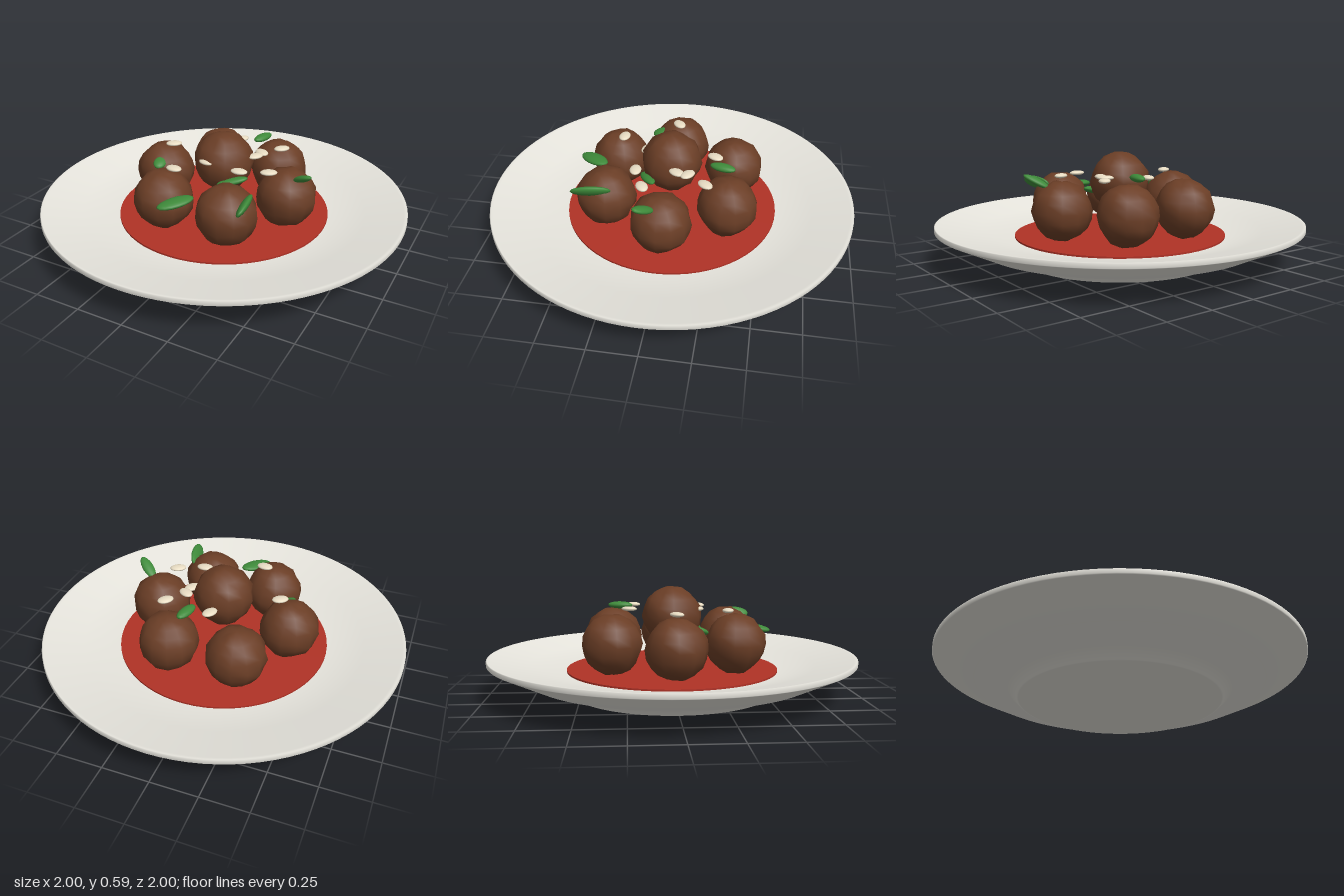
import * as THREE from 'three';
import { mergeVertices } from 'three/addons/utils/BufferGeometryUtils.js';

const mat = (name, color) => {
  const m = new THREE.MeshStandardMaterial({ color });
  m.name = name;
  return m;
};

// Small seeded random generator
function seeded(seed) {
  let s = seed;
  return () => (s = (s * 16807) % 2147483647) / 2147483647;
}

// Coarse sphere with each vertex pushed in or out a little
function lumpyBall(radius, seed) {
  const rand = seeded(seed * 7919 + 13);
  let g = new THREE.SphereGeometry(radius, 12, 10);
  g.deleteAttribute('uv');
  g.deleteAttribute('normal');
  g = mergeVertices(g, 1e-4);
  const p = g.attributes.position;
  for (let i = 0; i < p.count; i++) {
    const k = 0.96 + rand() * 0.07;
    p.setXYZ(i, p.getX(i) * k, p.getY(i) * k, p.getZ(i) * k);
  }
  g.computeVertexNormals();
  return g;
}

export function createModel() {
  const model = new THREE.Group();
  model.name = 'meatballPlate';

  const china = mat('china', 0xf0eee6);
  const sauceRed = mat('sauceRed', 0xb03226);
  const meat = mat('meat', 0x6b3e26);
  const herb = mat('herb', 0x3e8a3a);
  const nut = mat('nut', 0xf2e6cc);

  const add = (name, geometry, material, x = 0, y = 0, z = 0) => {
    const mesh = new THREE.Mesh(geometry, material);
    mesh.name = name;
    mesh.position.set(x, y, z);
    model.add(mesh);
    return mesh;
  };

  // Plate: foot, flared underside, thin rim and shallow well
  const profile = [
    [0, 0], [0.54, 0], [0.55, 0.002], [0.6, 0.05], [0.78, 0.085], [0.995, 0.188],
    [1, 0.192], [1, 0.213], [0.995, 0.216], [0.98, 0.213], [0.78, 0.17], [0.58, 0.128], [0, 0.125],
  ].map(([r, y]) => new THREE.Vector2(r, y));
  add('plate', new THREE.LatheGeometry(profile, 96), china);

  // Sauce pool
  add('sauce', new THREE.CylinderGeometry(0.58, 0.58, 0.016, 64), sauceRed, 0, 0.129, 0);

  // Meatballs: a ring of six with one on top
  for (let i = 0; i < 6; i++) {
    const a = (i * Math.PI) / 3;
    const ball = add('meatball', lumpyBall(0.16, i + 1), meat, Math.cos(a) * 0.375, 0.295, Math.sin(a) * 0.375);
    ball.rotation.y = i * 0.7;
  }
  add('topMeatball', lumpyBall(0.162, 9), meat, 0, 0.424, 0);

  // Nuts: flat ovals at one height; x, z, turn about y
  const oval = new THREE.SphereGeometry(1, 16, 10);
  [
    [-0.01, -0.235, 1.1], [0.25, -0.21, 0.85], [0.175, -0.11, -0.6], [0.165, -0.05, 1.0],
    [-0.315, 0.005, 0.6], [0.315, 0.105, 0.5], [0.175, 0.165, 0.1], [-0.14, 0.29, -0.1], [-0.03, 0.14, -0.2],
  ].forEach(([x, z, turn]) => {
    const m = add('nut', oval, nut, x, 0.464, z);
    m.scale.set(0.045, 0.013, 0.031);
    m.rotation.y = turn;
  });

  // Herb leaves: centre, long direction, width direction, half sizes
  [
    [[0.1, 0.475, -0.285], [0.25, 0, -1], [1, 0, 0], [0.07, 0.02, 0.031]],
    [[0.485, 0.45, 0.067], [0.11, 0.07, 0.08], [0.6, 0, -0.6], [0.076, 0.018, 0.032]],
    [[-0.34, 0.385, 0.115], [0.1, -0.3, 1], [1, -0.3, 0], [0.05, 0.018, 0.035]],
    [[0.11, 0.37, 0.115], [0.12, 0.03, -0.07], [0.4, 0, 0.8], [0.085, 0.018, 0.03]],
    [[-0.04, 0.36, 0.445], [0.58, 0.1, -0.8], [0.8, 0, 0.58], [0.1, 0.02, 0.047]],
    [[0.312, 0.4, 0.377], [0.18, 0, 1], [0.5, 0.75, 0], [0.106, 0.02, 0.044]],
  ].forEach(([c, long, wide, size]) => {
    const m = add('herbLeaf', oval, herb, ...c);
    const u = new THREE.Vector3(...long).normalize();
    const v = new THREE.Vector3().crossVectors(new THREE.Vector3(...wide), u).normalize();
    const w = new THREE.Vector3().crossVectors(u, v);
    m.quaternion.setFromRotationMatrix(new THREE.Matrix4().makeBasis(u, v, w));
    m.scale.set(...size);
  });

  return model;
}
